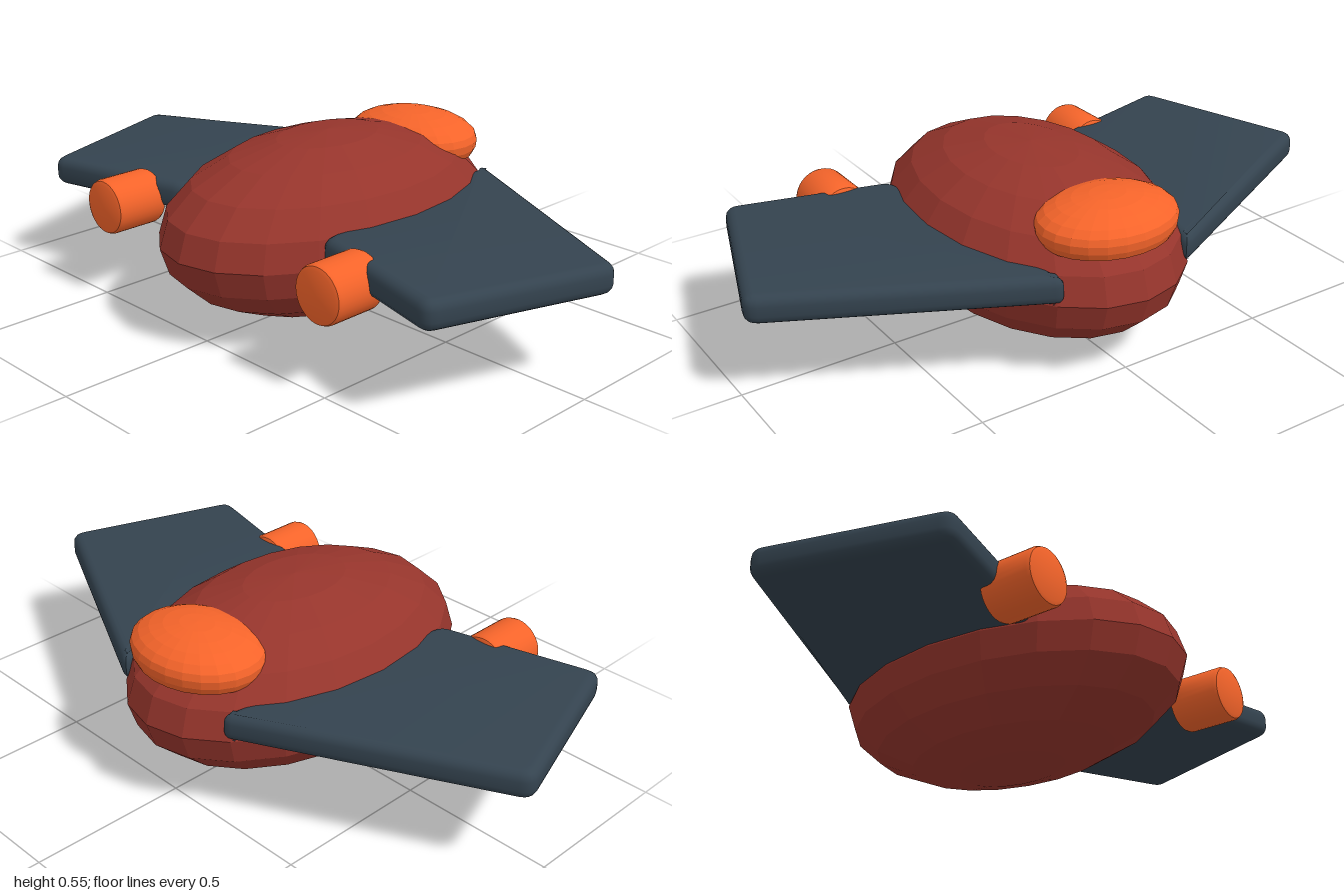
import * as THREE from 'three';
import { toCreasedNormals } from 'three/addons/utils/BufferGeometryUtils.js';

const paint = (color, flatShading = false) => new THREE.MeshStandardMaterial({ color, flatShading });

// Closed shape through the corners, each one rounded over distance d
function roundedShape(corners, d) {
  const pts = corners.map(([x, y]) => new THREE.Vector2(x, y));
  const shape = new THREE.Shape();
  pts.forEach((p, i) => {
    const toward = (q) => p.clone().add(q.clone().sub(p).setLength(d));
    const a = toward(pts[(i + pts.length - 1) % pts.length]);
    const b = toward(pts[(i + 1) % pts.length]);
    if (i === 0) shape.moveTo(a.x, a.y);
    else shape.lineTo(a.x, a.y);
    shape.quadraticCurveTo(p.x, p.y, b.x, b.y);
  });
  shape.closePath();
  return shape;
}

// Swept slab with rounded edges, lying between y = 0.28 and y = 0.37
function wingGeometry(side) {
  const bevel = 0.03;
  const corners = [[0.21, -0.505], [1.01, -0.105], [0.82, 0.46], [0.31, 0.33]];
  const shape = roundedShape(corners.map(([x, z]) => [side * x, z]), 0.04);
  const geo = new THREE.ExtrudeGeometry(shape, {
    depth: 0.09 - 2 * bevel, bevelSize: bevel, bevelThickness: bevel,
    bevelOffset: -bevel, bevelSegments: 4, curveSegments: 4,
  });
  geo.rotateX(Math.PI / 2).translate(0, 0.37 - bevel, 0);
  return toCreasedNormals(geo, 0.6);
}

// Short cylinder along z with softened rims
function thrusterGeometry() {
  const r = 0.088, h = 0.09, b = 0.015;
  const profile = [
    [0, -h], [r - b, -h], [r - b * 0.3, -h + b * 0.3], [r, -h + b],
    [r, h - b], [r - b * 0.3, h - b * 0.3], [r - b, h], [0, h],
  ].map(([x, y]) => new THREE.Vector2(x, y));
  return toCreasedNormals(new THREE.LatheGeometry(profile, 32).rotateX(Math.PI / 2), 0.6);
}

// Low dome above a thin rounded underside, oval in plan
function canopyGeometry() {
  const profile = [[0, -0.055], [0.8, -0.055], [0.93, -0.048], [0.985, -0.025]];
  for (let i = 0; i <= 6; i++) {
    const a = (i / 6) * Math.PI / 2;
    profile.push([i === 6 ? 0 : Math.cos(a), 0.08 * Math.sin(a)]);
  }
  const points = profile.map(([x, y]) => new THREE.Vector2(x, y));
  return new THREE.LatheGeometry(points, 24).scale(0.225, 1, 0.18);
}

export function createModel() {
  const model = new THREE.Group();
  model.name = 'flyingCraft';
  const add = (name, geometry, material, x = 0, y = 0, z = 0) => {
    const mesh = new THREE.Mesh(geometry, material);
    mesh.name = name;
    mesh.position.set(x, y, z);
    model.add(mesh);
  };
  const red = paint(0x96352c, true);
  const slate = paint(0x34434f);
  const orange = paint(0xf5642a);

  // Faceted hull
  add('hull', new THREE.SphereGeometry(1, 20, 10).scale(0.4, 0.275, 0.595), red, 0, 0.275, 0);

  // Canopy at the back
  add('canopy', canopyGeometry(), paint(0xf5642a, true), 0, 0.455, -0.39);

  // Wings and thrusters on both sides
  for (const [label, side] of [['left', 1], ['right', -1]]) {
    add(label + 'Wing', wingGeometry(side), slate);
    add(label + 'Thruster', thrusterGeometry(), orange, side * 0.477, 0.298, 0.42);
  }
  return model;
}
